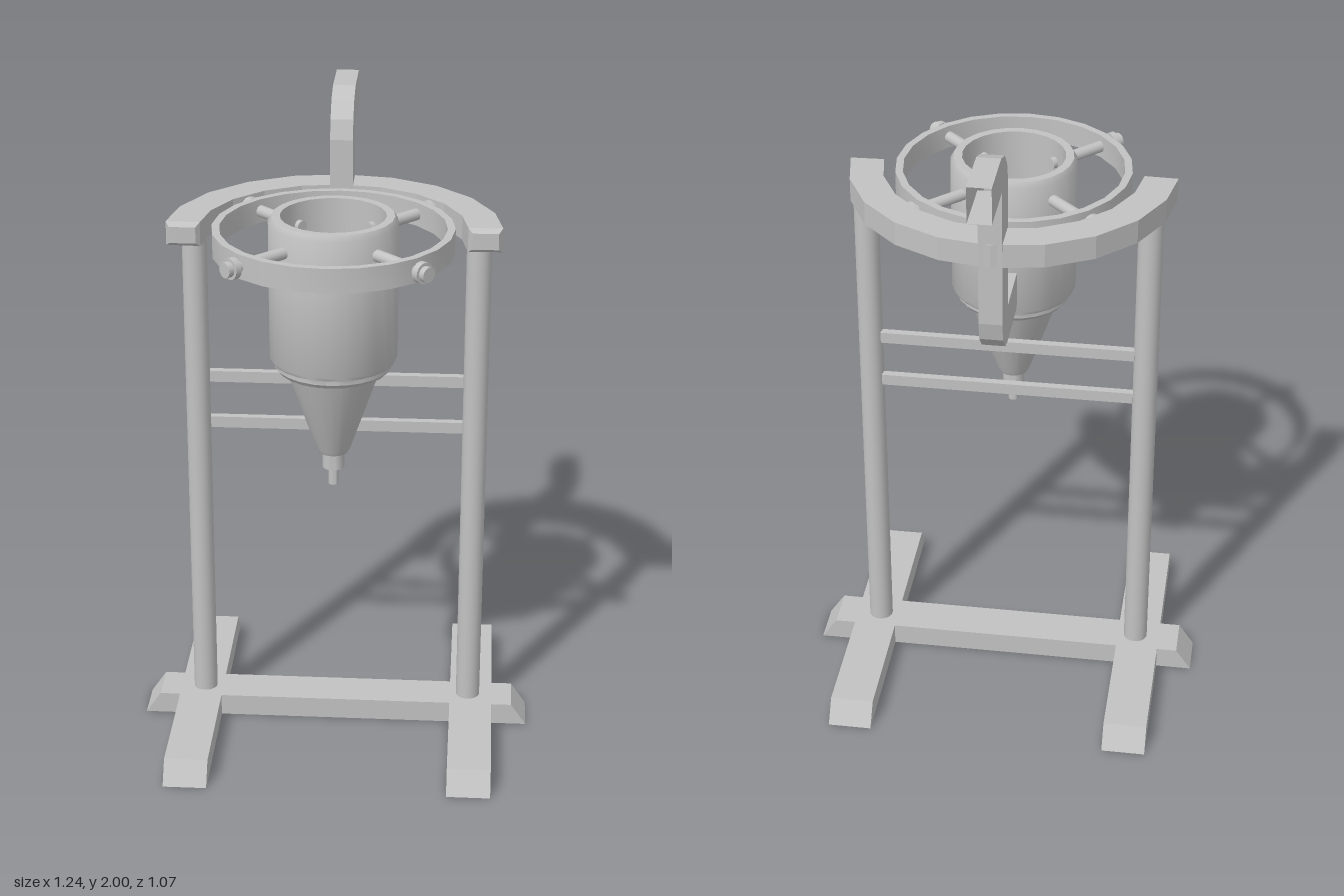
import * as THREE from 'three';
import { toCreasedNormals } from 'three/addons/utils/BufferGeometryUtils.js';

const AXIS_Z = 0.157; // z of the vessel and its rings

export function createModel() {
  const model = new THREE.Group();
  const grey = new THREE.MeshStandardMaterial({ color: 0xc2c2c2, side: THREE.DoubleSide });
  grey.name = 'grey metal';

  const add = (name, geometry, x = 0, y = 0, z = 0, parent = model) => {
    const mesh = new THREE.Mesh(geometry, grey);
    mesh.name = name;
    mesh.position.set(x, y, z);
    parent.add(mesh);
    return mesh;
  };

  // Turned part with crisp edges
  const lathe = (points, segments) => toCreasedNormals(
    new THREE.LatheGeometry(points.map(([r, y]) => new THREE.Vector2(r, y)), segments), 0.6);

  // Flat-sided skin over a row of four-cornered sections
  const loft = (sections, capped) => {
    const out = [];
    const quad = (a, b, c, d) => out.push(...a, ...b, ...c, ...a, ...c, ...d);
    for (let i = 0; i < sections.length - 1; i++) {
      const s = sections[i], t = sections[i + 1];
      for (let k = 0; k < 4; k++) quad(s[k], s[(k + 1) % 4], t[(k + 1) % 4], t[k]);
    }
    if (capped) {
      const [a, b, c, d] = sections[0];
      quad(d, c, b, a);
      quad(...sections[sections.length - 1]);
    }
    const g = new THREE.BufferGeometry();
    g.setAttribute('position', new THREE.Float32BufferAttribute(out, 3));
    g.computeVertexNormals();
    return g;
  };

  // Base beam along z: open underneath, ends sloping inward
  const beam = (length, slope) => {
    const g = new THREE.BoxGeometry(0.136, 0.07, length);
    const p = g.attributes.position;
    for (let i = 0; i < p.count; i++) {
      if (p.getY(i) > 0) p.setZ(i, p.getZ(i) - Math.sign(p.getZ(i)) * slope);
    }
    const index = Array.from(g.index.array);
    index.splice(18, 6); // leave out the underside
    g.setIndex(index);
    g.clearGroups();
    g.computeVertexNormals();
    return g;
  };
  add('baseCrossbar', beam(1.24, 0.048), 0, 0.035, 0.02).rotation.y = Math.PI / 2;

  // Feet and posts
  for (const [side, s] of [['left', 1], ['right', -1]]) {
    add(side + 'Foot', beam(1.02, 0.05), s * 0.44, 0.035, 0.02);
    add(side + 'Post', new THREE.CylinderGeometry(0.038, 0.038, 1.65, 20), s * 0.43, 0.825, 0.02);
  }

  // Rails between the posts
  for (const y of [1.018, 1.172]) {
    add('rail', new THREE.BoxGeometry(0.79, 0.036, 0.024), 0, y, 0.008);
  }

  // Horseshoe yoke with bevelled ends
  const yokeSection = (degrees, inset) => {
    const a = THREE.MathUtils.degToRad(degrees);
    const corner = (r, y) => [r * Math.cos(a), y, -r * Math.sin(a)];
    const outer = 0.498 - inset, inner = 0.396 + inset;
    const low = 1.643 + inset, high = 1.717 - inset;
    return [corner(outer, low), corner(inner, low), corner(inner, high), corner(outer, high)];
  };
  const yoke = [yokeSection(0, 0.012), yokeSection(2, 0)];
  for (let a = 18; a < 180; a += 18) yoke.push(yokeSection(a, 0));
  yoke.push(yokeSection(178, 0), yokeSection(180, 0.012));
  add('yoke', loft(yoke, true), 0, 0, AXIS_Z);

  // Inner support ring
  add('supportRing', lathe([
    [0.336, 1.643], [0.359, 1.643], [0.359, 1.717], [0.336, 1.717], [0.336, 1.643],
  ], 24), 0, 0, AXIS_Z);

  // Hollow vessel with cone and nozzle
  add('vessel', lathe([
    [0, 0.885], [0.016, 0.885], [0.016, 0.942], [0.034, 0.942], [0.034, 0.99],
    [0.045, 0.995], [0.053, 1.01], [0.143, 1.27], [0.168, 1.272], [0.178, 1.285],
    [0.178, 1.302], [0.186, 1.302], [0.193, 1.315], [0.193, 1.735], [0.182, 1.753],
    [0.157, 1.753], [0.157, 1.33], [0, 1.33],
  ], 24), 0, 0, AXIS_Z);

  // Four radial pins with bolt heads
  for (let i = 0; i < 4; i++) {
    const pin = new THREE.Group();
    pin.name = 'supportPin';
    pin.position.set(0, 1.68, AXIS_Z);
    pin.rotation.y = Math.PI / 4 + i * Math.PI / 2;
    const rod = (name, r, from, to) => {
      add(name, new THREE.CylinderGeometry(r, r, to - from, 16), 0, 0, (from + to) / 2, pin)
        .rotation.x = Math.PI / 2;
    };
    rod('pinShaft', 0.018, 0.14, 0.39);
    rod('pinCollar', 0.032, 0.372, 0.392);
    rod('pinHead', 0.023, 0.392, 0.41);
    model.add(pin);
  }

  // Open square duct: [z, y] of the lower/back edge, then of the upper/front edge
  const duct = [
    [-0.015, 1.332, -0.015, 1.453], [-0.22, 1.332, -0.22, 1.453],
    [-0.277, 1.345, -0.22, 1.453], [-0.324, 1.393, -0.22, 1.453],
    [-0.338, 1.453, -0.22, 1.453], [-0.338, 1.888, -0.22, 1.865],
    [-0.338, 1.888, -0.238, 1.925], [-0.338, 1.888, -0.285, 1.975],
    [-0.338, 1.888, -0.355, 2.0], [-0.535, 1.888, -0.535, 2.0],
  ].map(([z1, y1, z2, y2]) => [
    [0.035, y1, z1], [-0.035, y1, z1], [-0.035, y2, z2], [0.035, y2, z2],
  ]);
  add('duct', loft(duct, false));

  return model;
}
